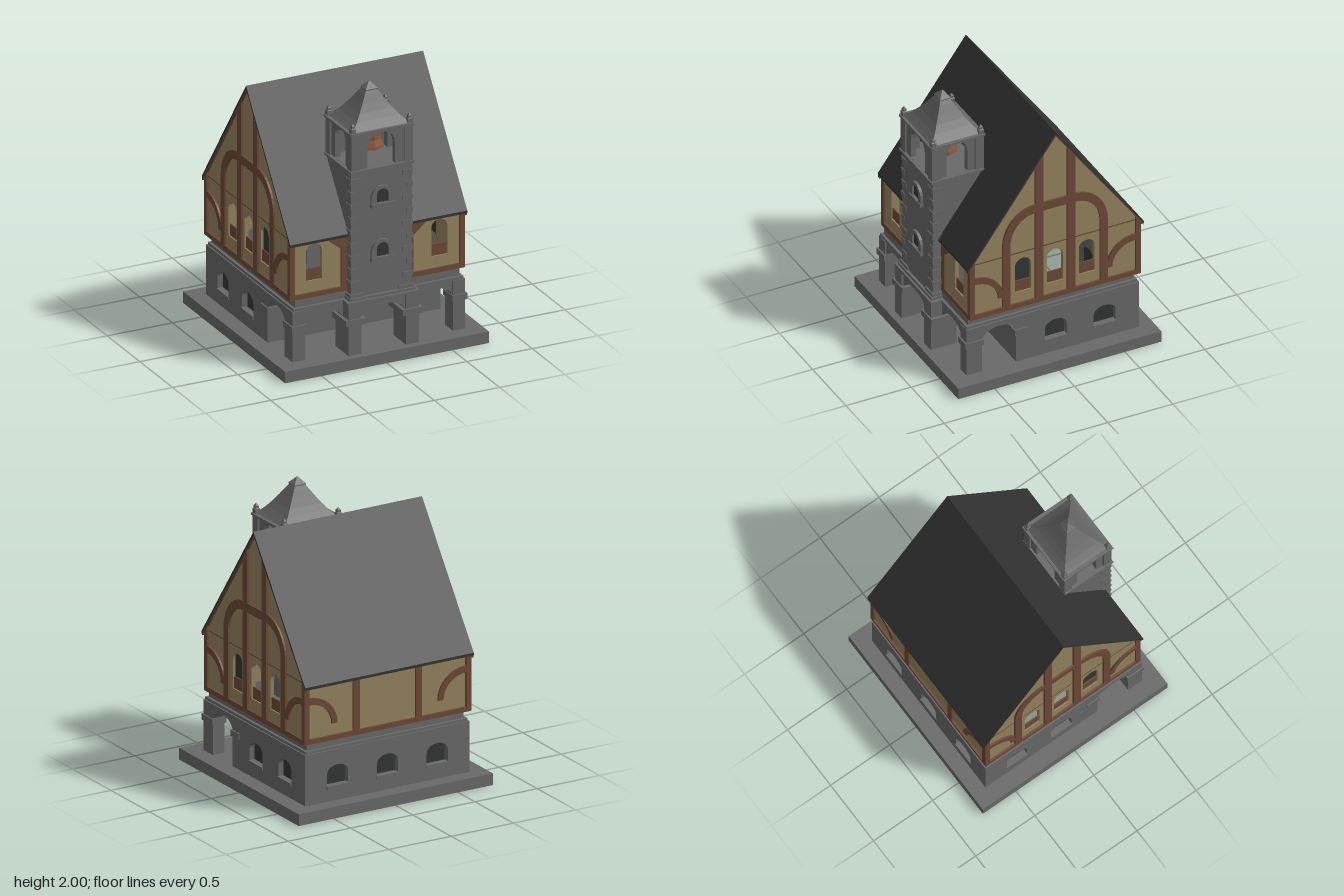
import * as THREE from 'three';

const mat = (name, color, side = THREE.FrontSide) =>
  Object.assign(new THREE.MeshStandardMaterial({ color, side, flatShading: true }), { name });

export function createModel() {
  const stone = mat('stone', 0x696969, THREE.DoubleSide);
  const plaster = mat('plaster', 0x94835e);
  const timber = mat('timber', 0x6d4937);
  const slate = mat('slate', 0x333333, THREE.DoubleSide);
  const dark = mat('darkOpening', 0x343636, THREE.DoubleSide);
  const copper = mat('bellCopper', 0x85523a, THREE.DoubleSide);

  const model = new THREE.Group();
  const add = (name, geo, m) => {
    const mesh = new THREE.Mesh(geo, m);
    mesh.name = name;
    model.add(mesh);
    return mesh;
  };
  // Box given by its limits
  const box = (name, m, x0, x1, y0, y1, z0, z1) =>
    add(name, new THREE.BoxGeometry(x1 - x0, y1 - y0, z1 - z0)
      .translate((x0 + x1) / 2, (y0 + y1) / 2, (z0 + z1) / 2), m);
  const pair = (name, m, x0, x1, ...r) => {
    box(name, m, x0, x1, ...r);
    box(name, m, -x1, -x0, ...r);
  };
  const poly = (pts) => new THREE.Shape(pts.map((p) => new THREE.Vector2(...p)));
  const rect = (x0, x1, y0, y1) => poly([[x0, y0], [x1, y0], [x1, y1], [x0, y1]]);
  const arc = (cx, cy, rx, ry, a0, a1, n = 10) => Array.from({ length: n + 1 }, (_, i) => {
    const a = a0 + (a1 - a0) * i / n;
    return [cx + rx * Math.cos(a), cy + ry * Math.sin(a)];
  });
  const arch = (cx, hw, y0, spring, rise) =>
    poly([[cx - hw, y0], [cx + hw, y0], ...arc(cx, spring, hw, rise, 0, Math.PI)]);
  // Wall above an arched opening
  const spandrel = (x0, x1, spring, rise, top) =>
    poly([[x0, top], ...arc((x0 + x1) / 2, spring, (x1 - x0) / 2, rise, Math.PI, 0, 14), [x1, top]]);
  const quarterBand = (cx, cy, s, R, r) => poly([
    ...arc(0, 0, R[0], R[1], 0, Math.PI / 2), ...arc(0, 0, r[0], r[1], Math.PI / 2, 0),
  ].map(([x, y]) => [cx + s * x, cy + y]));
  const extrude = (shape, depth) => new THREE.ExtrudeGeometry(shape, { depth, bevelEnabled: false });
  // Shape in x,y extruded between two z planes
  const facing = (name, m, shape, z0, z1) => add(name, extrude(shape, z1 - z0).translate(0, 0, z0), m);
  // Shape in -z,y extruded between two x planes, on both sides
  const sides = (name, m, shape, x0, x1) => {
    for (const x of [x0, -x1])
      add(name, extrude(shape, x1 - x0).rotateY(Math.PI / 2).translate(x, 0, 0), m);
  };
  const holed = (shape, holes) => { shape.holes.push(...holes); return shape; };

  // Open-bottomed plinth with the hall left open
  const top = holed(rect(-0.78, 0.78, -0.78, 0.78), [rect(-0.61, 0.61, -0.23, 0.62)]);
  add('plinthTop', new THREE.ShapeGeometry(top).rotateX(-Math.PI / 2).translate(0, 0.085, 0), stone);
  add('plinthSides', new THREE.CylinderGeometry(0.78 * Math.SQRT2, 0.78 * Math.SQRT2, 0.085, 4, 1, true)
    .rotateY(Math.PI / 4).translate(0, 0.0425, 0), stone);

  // Stone ground floor with low arched windows
  const low = (c) => arch(c, 0.085, 0.18, 0.285, 0.06);
  const sideLow = [0.03, 0.405], backLow = [-0.4, 0, 0.4];
  sides('hallSideWall', stone, holed(rect(-0.275, 0.67, 0.085, 0.455), sideLow.map(low)), 0.61, 0.66);
  facing('hallBackWall', stone, holed(rect(-0.61, 0.61, 0.085, 0.455), backLow.map(low)), -0.67, -0.62);
  box('hallFrontWall', stone, -0.61, 0.61, 0.085, 0.455, 0.235, 0.275);
  for (const c of sideLow) {
    sides('lowWindow', dark, low(c), 0.612, 0.62);
    pair('lowWindowSill', stone, 0.62, 0.668, 0.175, 0.197, -c - 0.088, -c + 0.088);
  }
  for (const c of backLow) {
    facing('lowWindow', dark, low(c), -0.63, -0.622);
    box('lowWindowSill', stone, c - 0.088, c + 0.088, 0.175, 0.197, -0.678, -0.63);
  }

  // Arcade: piers, capitals and arches
  pair('outerPier', stone, 0.565, 0.66, 0.085, 0.455, 0.535, 0.655);
  pair('outerCapital', stone, 0.555, 0.67, 0.305, 0.35, 0.525, 0.667);
  pair('innerPier', stone, 0.17, 0.27, 0.085, 0.455, 0.535, 0.73);
  pair('innerCapital', stone, 0.14, 0.295, 0.305, 0.35, 0.525, 0.74);
  pair('wallCapital', stone, 0.56, 0.67, 0.305, 0.35, 0.185, 0.29);
  sides('sideArch', stone, spandrel(-0.535, -0.275, 0.335, 0.085, 0.455), 0.575, 0.66);
  facing('centreArch', stone, spandrel(-0.17, 0.17, 0.335, 0.085, 0.455), 0.6, 0.715);
  for (const s of [0, -0.835])
    facing('outerArch', stone, spandrel(0.27 + s, 0.565 + s, 0.335, 0.085, 0.455), 0.56, 0.645);
  box('arcadeCeiling', stone, -0.65, 0.65, 0.455, 0.475, 0.235, 0.65);

  // Stepped ledges under the jettied floor
  for (const [w, y0, y1] of [[0.65, 0.455, 0.475], [0.63, 0.475, 0.53]]) {
    pair('sideLedge', stone, 0.59, w, y0, y1, -w - 0.01, w);
    box('backLedge', stone, -0.59, 0.59, y0, y1, -w - 0.01, -0.6);
    box('frontLedge', stone, -0.59, 0.59, y0, y1, 0.58, w);
  }

  // Plaster upper floor; c is the ridge line in -z
  const c = 0.022, W = 0.64, under = (d) => 1.862 - 1.378 * Math.abs(d);
  const upWin = (x) => arch(x, 0.061, 0.65, 0.865, 0.055);
  const gableWins = [-0.22, 0.025, 0.27];
  const gable = poly([[c - W, 0.53], [c + W, 0.53], [c + W, under(W)], [c, under(0)], [c - W, under(W)]]);
  sides('gableWall', plaster, holed(gable, gableWins.map(upWin)), 0.625, 0.655);
  for (const x of gableWins)
    sides('gableWindowPanel', timber, rect(x - 0.061, x + 0.061, 0.65, 0.735), 0.635, 0.645);
  sides('blindWindow', dark, upWin(-0.22), 0.626, 0.634);
  facing('frontWall', plaster, holed(rect(-0.63, 0.63, 0.53, 0.975), [-0.48, 0.48].map(upWin)), 0.59, 0.62);
  pair('frontWindowPanel', timber, 0.419, 0.541, 0.65, 0.735, 0.6, 0.61);
  box('backWall', plaster, -0.63, 0.63, 0.53, 0.975, -0.662, -0.632);

  // Timber frame of the gables
  const X0 = 0.645, X1 = 0.67;
  sides('gableSill', timber, rect(c - 0.655, c + 0.655, 0.53, 0.565), X0, X1);
  sides('gableRail', timber, rect(c - 0.65, c + 0.65, 0.968, 0.976), X0, 0.658);
  sides('gableCollar', timber, rect(c - 0.093, c + 0.093, 1.27, 1.335), X0, X1);
  for (const s of [-1, 1]) {
    const post = (a, b, ya, yb) => poly([[c + s * a, 0.565], [c + s * b, 0.565], [c + s * b, yb], [c + s * a, ya]]);
    sides('gableInnerPost', timber, post(0.093, 0.153, under(0.093), under(0.153)), X0, X1);
    sides('gableOuterPost', timber, post(0.345, 0.402, 1.06, 1.06), X0, X1);
    sides('gableCornerPost', timber, post(0.618, 0.655, under(0.618), under(0.655)), X0, X1);
    sides('gableArchBrace', timber, quarterBand(c + s * 0.15, 1.06, s, [0.252, 0.275], [0.195, 0.21]), X0, X1);
    sides('gableLowBrace', timber, quarterBand(c + s * 0.62, 0.65, -s, [0.225, 0.215], [0.183, 0.167]), X0, X1);
    // Front corner brackets beside the tower
    facing('towerBracket', timber, poly([[s * 0.41, 0.955], [s * 0.27, 0.955], [s * 0.27, 0.84]]), 0.615, 0.632);
    facing('backBrace', timber, quarterBand(s * 0.63, 0.65, -s, [0.225, 0.215], [0.183, 0.167]), -0.677, -0.655);
  }
  // Timber frame of front and back
  for (const [z0, z1] of [[0.61, 0.633], [-0.677, -0.655]]) {
    box('wallSill', timber, -0.67, 0.67, 0.53, 0.565, z0, z1);
    box('wallPlate', timber, -0.67, 0.67, 0.945, 0.965, z0, z1);
    pair('cornerPost', timber, 0.63, 0.67, 0.565, 0.96, z0, z1);
    pair('innerPost', timber, 0.225, 0.275, 0.565, 0.96, z0, z1);
  }

  // Steep roof, verge boards and rafter tails
  const chevron = (w, y, t) => poly([[c - w, y - 1.378 * w], [c, y], [c + w, y - 1.378 * w],
    [c + w, y - 1.378 * w - t], [c, y - t], [c - w, y - 1.378 * w - t]]);
  facing('roof', slate, chevron(0.675, 1.887, 0.02), -0.677, 0.677).geometry
    .translate(0, 0, 0).rotateY(Math.PI / 2);
  sides('vergeBoard', timber, chevron(0.675, 1.868, 0.014), 0.65, 0.674);
  for (let i = 0; i < 23; i++) {
    const x = -0.66 + i * 0.06;
    if (Math.abs(x) > 0.25) box('rafterTail', timber, x - 0.014, x + 0.014, 0.935, 0.96, 0.62, 0.65);
    box('rafterTail', timber, x - 0.014, x + 0.014, 0.935, 0.96, -0.694, -0.66);
  }

  // Tower shaft with base, corner stones and windows
  const tz = 0.505;
  box('towerBase', stone, -0.275, 0.275, 0.455, 0.475, 0.5, 0.73);
  box('towerFoot', stone, -0.25, 0.25, 0.475, 0.495, 0.5, 0.715);
  box('towerShaft', stone, -0.233, 0.233, 0.475, 1.42, 0.31, 0.695);
  pair('footStone', stone, 0.13, 0.243, 0.49, 0.52, 0.6, 0.705);
  for (let i = 0; i < 9; i++) {
    const w = i % 2 ? 0.05 : 0.08;
    pair('cornerStone', stone, 0.238 - w, 0.238, 0.58 + i * 0.095, 0.615 + i * 0.095, 0.7 - w, 0.7);
  }
  for (const y of [0.77, 1.17]) {
    facing('towerWindowSurround', stone, holed(arch(0, 0.085, y, y + 0.04, 0.088),
      [arch(0, 0.046, y + 0.001, y + 0.06, 0.045)]), 0.69, 0.715);
    facing('towerWindow', dark, arch(0, 0.047, y, y + 0.06, 0.046), 0.692, 0.699);
    box('towerWindowSill', stone, -0.088, 0.088, y - 0.027, y, 0.69, 0.722);
  }

  // Belfry
  box('belfryFloor', stone, -0.245, 0.245, 1.42, 1.437, tz - 0.208, tz + 0.208);
  box('belfryCornice', stone, -0.245, 0.245, 1.7, 1.717, tz - 0.208, tz + 0.208);
  for (const s of [-1, 1]) {
    const z = tz + s * 0.167;
    pair('belfryPost', stone, 0.172, 0.235, 1.437, 1.7, z - 0.032, z + 0.032);
    const opening = holed(rect(-0.172, 0.172, 1.437, 1.7), [arch(0, 0.105, 1.438, 1.59, 0.1)]);
    facing('belfryArch', stone, opening, z - 0.02, z + 0.02);
    for (const sx of [-1, 1]) {
      const pin = [[0.02, 0], [0.02, 0.035], [0.014, 0.04], [0.014, 0.055], [0, 0.075]];
      add('pinnacle', new THREE.LatheGeometry(pin.map((p) => new THREE.Vector2(...p)), 4)
        .rotateY(Math.PI / 4).scale(1.3, 1, 1.3).translate(sx * 0.217, 1.715, tz + s * 0.182), stone);
    }
  }
  sides('belfrySideArch', stone, holed(rect(-tz - 0.135, -tz + 0.135, 1.437, 1.7),
    [arch(-tz, 0.08, 1.438, 1.61, 0.08)]), 0.18, 0.22);

  // Flared belfry roof with a small cap
  const flare = [[0.222, 1.715], [0.2, 1.735], [0.165, 1.77], [0.128, 1.815], [0.093, 1.865],
    [0.06, 1.915], [0.042, 1.94], [0.047, 1.942], [0.047, 1.95], [0, 2]];
  add('belfryRoof', new THREE.LatheGeometry(flare.map(([r, y]) => new THREE.Vector2(r * Math.SQRT2, y)), 4)
    .rotateY(Math.PI / 4).scale(1, 1, 0.86).translate(0, 0, tz), stone);

  // Bell
  const bell = [[0.108, 1.52], [0.102, 1.54], [0.082, 1.58], [0.074, 1.64], [0.06, 1.675], [0, 1.695]];
  add('bell', new THREE.LatheGeometry(bell.map((p) => new THREE.Vector2(...p)), 8)
    .translate(0, 0, tz), copper);
  return model;
}
